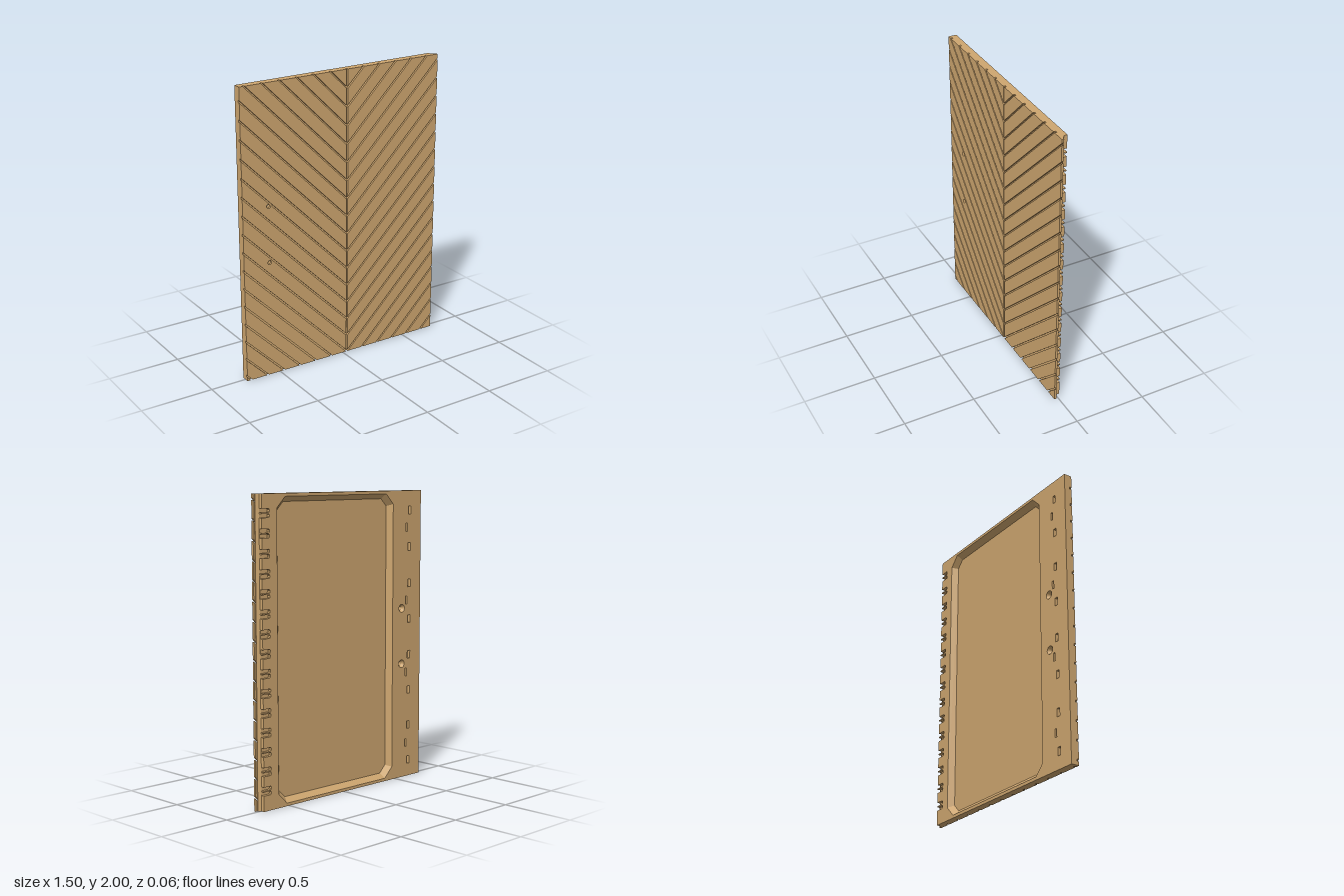
import * as THREE from 'three';

const BACK = -0.028, FRONT = 0.028, FLOOR = 0.008, SLOT = -0.006, SKIN = 0.013;
const LEFT = -0.75, RIGHT = 0.75, INNER = 0.716, SEAM = 0.033, PITCH = 0.125;
const SCREWS = [[-0.562, 1.193], [-0.562, 0.806]];
const SCREW_R = 0.014, SINK_R = 0.028;

const shapeOf = pts => new THREE.Shape(pts.map(p => new THREE.Vector2(p[0], p[1])));
const rect = (x0, y0, x1, y1) => [[x0, y0], [x1, y0], [x1, y1], [x0, y1]];

// octagon of the back recess, shrunk by d
function recess(d) {
  const x0 = -0.47 + d, x1 = 0.59 - d, y0 = 0.02 + d, y1 = 1.98 - d, c = 0.07 - d * 0.59;
  return [[x0 + c, y0], [x1 - c, y0], [x1, y0 + c], [x1, y1 - c],
    [x1 - c, y1], [x0 + c, y1], [x0, y1 - c], [x0, y0 + c]];
}

function circle([x, y], r) {
  return new THREE.Path().absarc(x, y, r, 0, Math.PI * 2, true);
}

function layer(shape, z0, z1) {
  const g = new THREE.ExtrudeGeometry(shape, { depth: z1 - z0, bevelEnabled: false, curveSegments: 20 });
  return g.translate(0, 0, z0);
}

// keep the part of a polygon where s * (y - limit) >= 0
function clip(pts, limit, s) {
  const out = [];
  pts.forEach((a, i) => {
    const b = pts[(i + 1) % pts.length];
    const da = s * (a[1] - limit), db = s * (b[1] - limit);
    if (da >= 0) out.push(a);
    if (da * db < 0) {
      const t = da / (da - db);
      out.push([a[0] + t * (b[0] - a[0]), limit]);
    }
  });
  return out;
}

export function createModel() {
  const group = new THREE.Group();
  const wood = new THREE.MeshStandardMaterial({ color: 0xcfa770 });
  wood.name = 'tan wood';
  const add = (name, geometry, parent = group) => {
    const mesh = new THREE.Mesh(geometry, wood);
    mesh.name = name;
    parent.add(mesh);
  };

  // back layer: paired notches along one edge, recess, slots and countersinks
  const outline = [[LEFT, 0], [INNER, 0]];
  for (let k = 1; k <= 15; k++) {
    for (const o of [-0.016, 0.016]) {
      const y = k * PITCH + 0.005 + o, h = 0.012, x = 0.652;
      outline.push([INNER, y - h], [x + 0.006, y - h], [x, y - h / 2],
        [x, y + h / 2], [x + 0.006, y + h], [INNER, y + h]);
    }
  }
  outline.push([INNER, 2], [LEFT, 2]);
  const back = shapeOf(outline);
  back.holes.push(shapeOf(recess(0)));
  for (const s of SCREWS) back.holes.push(circle(s, SINK_R));
  for (let k = 0; k < 8; k++) {
    const y = 0.115 + k * 0.25;
    back.holes.push(shapeOf(rect(-0.648, y - 0.027, -0.622, y + 0.027)));
  }
  for (let k = 0; k < 4; k++) {
    const y = 0.24 + k * 0.503;
    back.holes.push(shapeOf(rect(-0.614, y - 0.028, -0.598, y + 0.028)));
  }
  add('backLayer', layer(back, BACK, SLOT));

  // middle layer closes the slots and surrounds the recess
  const middle = shapeOf(rect(LEFT, 0, INNER, 2));
  middle.holes.push(shapeOf(recess(0)));
  for (const s of SCREWS) middle.holes.push(circle(s, SCREW_R));
  add('middleLayer', layer(middle, SLOT, FLOOR));

  // skin forms the recess floor and carries the planks
  const skin = shapeOf(rect(LEFT, 0, 0.737, 2));
  for (const s of SCREWS) skin.holes.push(circle(s, SCREW_R));
  add('recessFloor', layer(skin, FLOOR, SKIN));

  // sloped walls of the recess
  const outer = recess(0), inner = recess(0.033), pos = [];
  outer.forEach((a, i) => {
    const j = (i + 1) % outer.length;
    const A = [...a, BACK], B = [...outer[j], BACK];
    const C = [...inner[j], FLOOR], D = [...inner[i], FLOOR];
    pos.push(...A, ...C, ...B, ...A, ...D, ...C);
  });
  const walls = new THREE.BufferGeometry();
  walls.setAttribute('position', new THREE.Float32BufferAttribute(pos, 3));
  walls.computeVertexNormals();
  add('recessWalls', walls);

  // bevelled strip under the overlapping edge
  const strip = new THREE.ExtrudeGeometry(
    shapeOf([[INNER, 0.004], [INNER, -FLOOR], [0.735, -FLOOR]]), { depth: 2, bevelEnabled: false });
  add('edgeBevel', strip.rotateX(-Math.PI / 2));
  strip.translate(0, 0, 0);

  // countersink cones behind the screw holes
  const cone = new THREE.LatheGeometry(
    [new THREE.Vector2(SINK_R, BACK), new THREE.Vector2(SCREW_R, SLOT)], 20);
  const sink = new THREE.MeshStandardMaterial({ color: 0xcfa770, side: THREE.DoubleSide });
  sink.name = 'tan wood countersink';
  for (const [x, y] of SCREWS) {
    const mesh = new THREE.Mesh(cone, sink);
    mesh.name = 'countersink';
    mesh.rotation.x = Math.PI / 2;
    mesh.position.set(x, y, 0);
    group.add(mesh);
  }

  // diagonal planks mirrored about the seam, with narrow grooves between
  const planks = new THREE.Group();
  planks.name = 'planks';
  group.add(planks);
  const gap = 0.007;
  for (const side of [-1, 1]) {
    const near = 0.005, far = side > 0 ? RIGHT - SEAM : SEAM - LEFT;
    for (let k = -7; k < 16; k++) {
      const lo = k * PITCH + gap, hi = (k + 1) * PITCH - gap;
      let pts = [[near, lo + near], [far, lo + far], [far, hi + far], [near, hi + near]];
      pts = clip(clip(pts, 0, 1), 2, -1).map(([u, y]) => [SEAM + side * u, y]);
      if (pts.length < 3) continue;
      const shape = shapeOf(pts);
      for (const [x, y] of SCREWS) {
        const t = y - side * (x - SEAM);
        if (side < 0 && t > lo && t < hi) shape.holes.push(circle([x, y], SCREW_R));
      }
      add(side < 0 ? 'rightPlank' : 'leftPlank', layer(shape, SKIN, FRONT), planks);
    }
  }
  return group;
}
